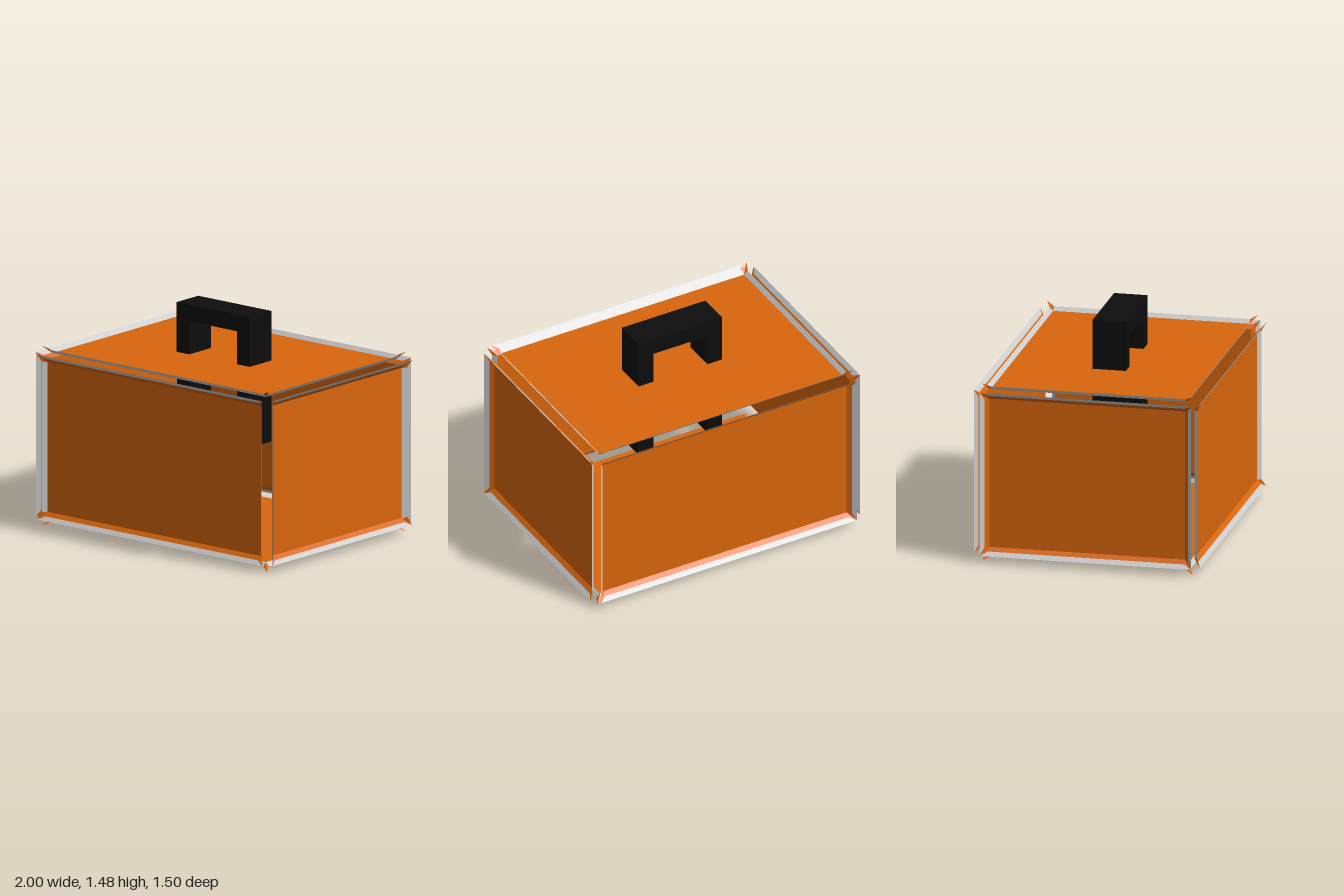
import * as THREE from 'three';

const mat = (name, color) => {
  const m = new THREE.MeshStandardMaterial({ color, side: THREE.DoubleSide, flatShading: true });
  m.name = name;
  return m;
};

// Flat polygon strips from corner loops (each convex)
function polygons(loops) {
  const pos = [];
  for (const p of loops)
    for (let i = 1; i < p.length - 1; i++) pos.push(...p[0], ...p[i], ...p[i + 1]);
  const g = new THREE.BufferGeometry();
  g.setAttribute('position', new THREE.Float32BufferAttribute(pos, 3));
  g.computeVertexNormals();
  return g;
}

export function createModel() {
  const orange = mat('orange shell', 0xd9650d);
  const grey = mat('grey trim', 0xcccccc);
  const black = mat('black handle', 0x0d0d0d);
  const model = new THREE.Group();
  model.name = 'toolCase';

  const add = (parent, name, geo, material) => {
    const m = new THREE.Mesh(geo, material);
    m.name = name;
    parent.add(m);
    return m;
  };

  const HALF = 0.025, RIM = 0.05;

  // One flaring rim on the +x side of a panel: D = distance, L = half length.
  // A full rim has an orange inner and grey outer band, a short one a grey inner band.
  function addRim(panel, k, D, L, full) {
    const rim = new THREE.Group();
    rim.name = 'rim';
    rim.rotation.z = k * Math.PI / 2;
    const at = (d, t) => [D + d, t, d];
    const inner = [at(0, -L), at(HALF, -L), at(HALF, L), at(0, L)];
    const outer = [at(HALF, -L), at(RIM, -L - RIM), at(RIM, L + RIM), at(HALF, L)];
    const tips = [-1, 1].map(s => {
      const t = [at(0, s * L), at(RIM, s * (L + RIM)), at(HALF, s * L)];
      return s > 0 ? t.reverse() : t;
    });
    tips.forEach(t => t.reverse());
    // Corners run so that the normals face the panel's centre
    const flip = p => [...p].reverse();
    add(rim, 'innerBand', polygons([flip(inner)]), full ? orange : grey);
    if (full) add(rim, 'outerBand', polygons([flip(outer)]), grey);
    add(rim, 'cornerTips', polygons(tips), orange);
    panel.add(rim);
  }

  // Recessed panels; rim flags run +x, +y, -x, -y in the panel's own frame
  const Q = Math.PI / 2;
  const panels = [
    ['frontPanel', 0, 0, 0.90, 0.50, 0.70, [0, 1, 0, 1]],
    ['backPanel', 0, 2 * Q, 0.90, 0.50, 0.70, [1, 1, 1, 1]],
    ['leftPanel', 0, Q, 0.65, 0.50, 0.95, [0, 1, 1, 1]],
    ['rightPanel', 0, -Q, 0.65, 0.50, 0.95, [1, 1, 1, 1]],
    ['topPanel', -Q, 0, 0.90, 0.65, 0.55, [0, 0, 0, 0]],
    ['bottomPanel', Q, 0, 0.90, 0.65, 0.55, [0, 0, 0, 0]],
  ];
  for (const [name, rx, ry, hu, hv, dist, full] of panels) {
    const panel = new THREE.Group();
    panel.name = name;
    panel.rotation.set(rx, ry, 0);
    panel.position.set(0, 0, dist).applyEuler(panel.rotation);
    panel.position.y += 0.6;
    add(panel, 'sheet', new THREE.PlaneGeometry(2 * hu, 2 * hv), orange);
    full.forEach((f, k) => addRim(panel, k, k % 2 ? hv : hu, k % 2 ? hu : hv, f));
    model.add(panel);
  }

  // Handle: a top bar and two legs that reach down into the case
  const handle = new THREE.Group();
  handle.name = 'handle';
  add(handle, 'handleBar', new THREE.BoxGeometry(0.62, 0.11, 0.22), black).position.y = 1.425;
  for (const s of [-1, 1])
    add(handle, 'handleLeg', new THREE.BoxGeometry(0.11, 0.76, 0.22), black).position.set(s * 0.255, 0.99, 0);
  model.add(handle);
  return model;
}
